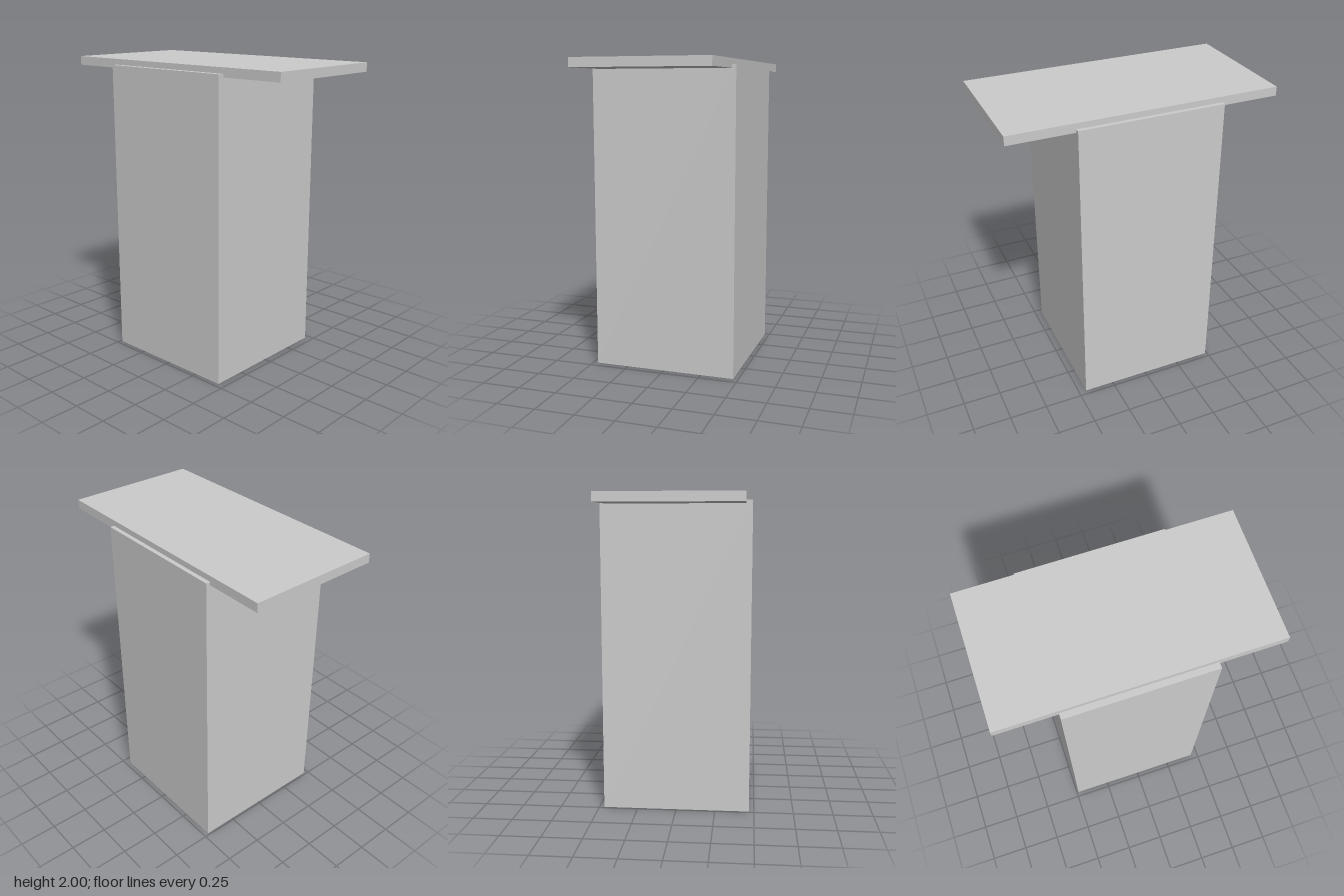
import * as THREE from 'three';

const material = new THREE.MeshStandardMaterial({ color: 0xcccccc, flatShading: true });

// Box given by its lower and upper corners
function boxBetween(name, min, max) {
  const size = max.map((v, i) => v - min[i]);
  const mesh = new THREE.Mesh(new THREE.BoxGeometry(...size), material);
  mesh.position.set(...min.map((v, i) => v + size[i] / 2));
  mesh.name = name;
  return mesh;
}

export function createModel() {
  const group = new THREE.Group();
  group.name = 'pedestalTable';

  // Tall square pedestal, slightly off centre under the top
  group.add(boxBetween('pedestal', [-0.487, 0, -0.468], [0.45, 1.963, 0.468]));

  // Top made of two equal panels meeting at the middle
  group.add(boxBetween('rightTopPanel', [-0.867, 1.942, -0.44], [0, 2, 0.429]));
  group.add(boxBetween('leftTopPanel', [0, 1.942, -0.44], [0.867, 2, 0.429]));

  return group;
}
